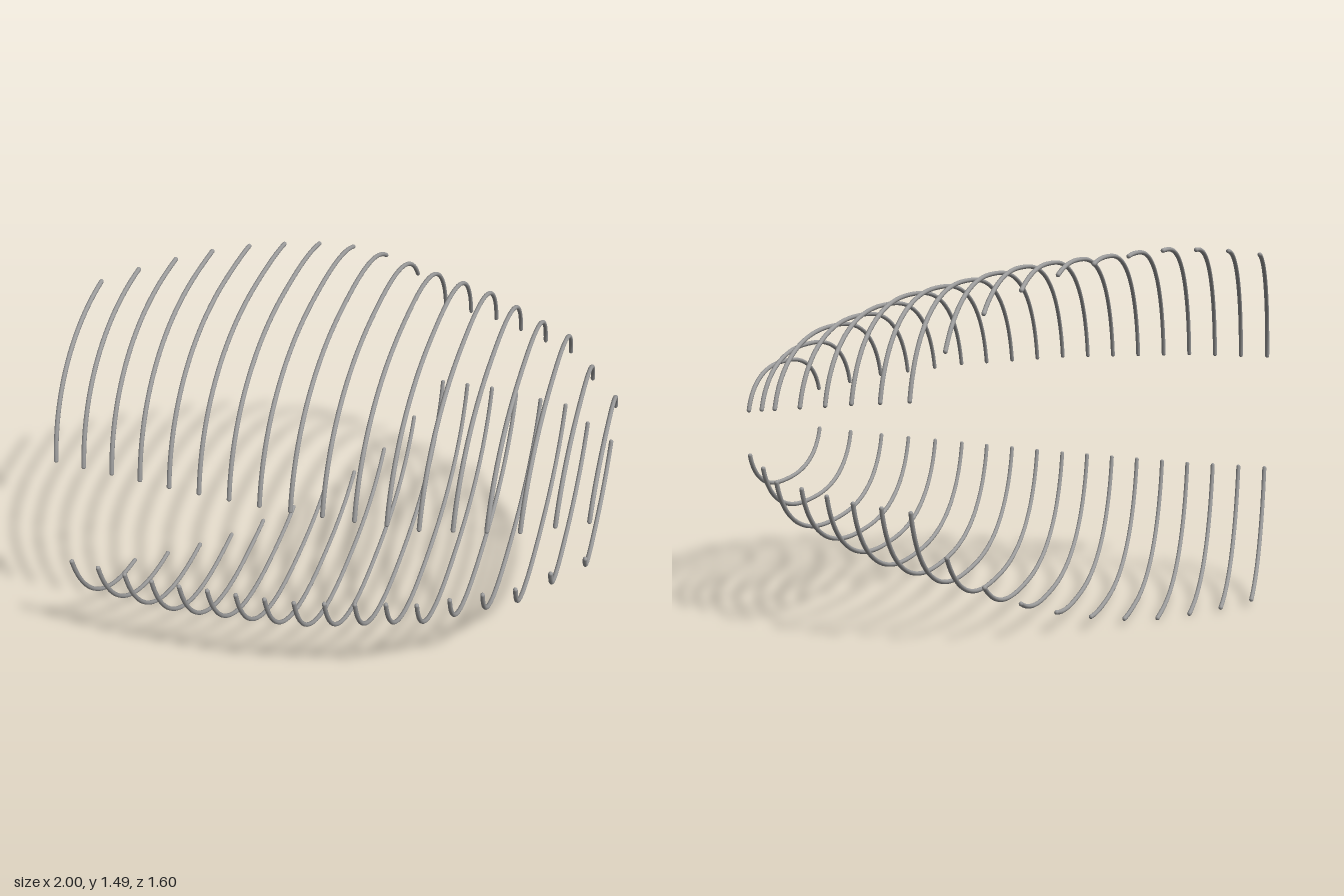
import * as THREE from 'three';

const R = 0.009;      // rod radius
const MID = 0.7475;   // height of the mirror plane
const N = 2.45;       // superellipse exponent of the rib outline

// One row per rib, from -x to +x: top height, open-end height, front z, back z
const RIBS = [
  [1.483, 0.994, 0.765, 0.20], [1.49, 0.994, 0.775, 0.10], [1.495, 0.994, 0.785, 0.00],
  [1.495, 0.994, 0.795, -0.10], [1.482, 0.989, 0.80, -0.21], [1.467, 0.984, 0.80, -0.31],
  [1.453, 0.979, 0.80, -0.415], [1.438, 0.974, 0.80, -0.52], [1.421, 0.969, 0.795, -0.625],
  [1.394, 0.959, 0.78, -0.73], [1.364, 0.949, 0.765, -0.80], [1.336, 0.939, 0.745, -0.79],
  [1.306, 0.929, 0.73, -0.775], [1.261, 0.914, 0.685, -0.74], [1.214, 0.899, 0.64, -0.70],
  [1.169, 0.884, 0.595, -0.665], [1.09, 0.859, 0.50, -0.52], [1.012, 0.834, 0.41, -0.38],
];
// Half depth towards the back for the ribs that stop short
const BACK = [0.92, 0.92, 0.92, 0.92, 0.92, 0.92, 0.90, 0.88, 0.855, 0.837];

const spow = (c, p) => Math.sign(c) * Math.pow(Math.abs(c), p);

// Centre line of an upper (side 1) or lower (side -1) rib
function ribCurve(i, side) {
  const [top, end, front, back] = RIBS[i];
  const x = -0.991 + (1.982 * i) / (RIBS.length - 1);
  const h = top - R - MID;
  const t0 = Math.asin(Math.pow((end + R * 0.7 - MID) / h, N / 2));
  const reach = Math.pow(Math.cos(t0), 2 / N);
  const depthFront = (front - R * 0.7) / reach;
  const depthBack = BACK[i] ?? (-back - R * 0.7) / reach;
  const zEnd = back + R * (i < BACK.length ? 0.3 : 0.7);
  const t1 = Math.acos(spow(zEnd / (zEnd > 0 ? depthFront : depthBack), N / 2));
  const points = [];
  for (let k = 0; k <= 28; k++) {
    const c = Math.cos(t0 + ((t1 - t0) * k) / 28);
    const s = Math.sqrt(1 - c * c);
    const z = spow(c, 2 / N) * (c > 0 ? depthFront : depthBack);
    points.push(new THREE.Vector3(x, MID + side * h * Math.pow(s, 2 / N), z));
  }
  return new THREE.CatmullRomCurve3(points);
}

export function createModel() {
  const model = new THREE.Group();
  model.name = 'ribbedShell';
  const steel = new THREE.MeshStandardMaterial({ color: 0x9c9c9c });
  steel.name = 'grey steel';
  const tip = new THREE.SphereGeometry(R, 10, 8);

  for (const [side, name] of [[1, 'upper'], [-1, 'lower']]) {
    const shell = new THREE.Group();
    shell.name = name + 'Shell';
    RIBS.forEach((_, i) => {
      const curve = ribCurve(i, side);
      const rib = new THREE.Mesh(new THREE.TubeGeometry(curve, 64, R, 10), steel);
      rib.name = `${name}Rib${i + 1}`;
      // Rounded ends close the rod
      for (const t of [0, 1]) {
        const cap = new THREE.Mesh(tip, steel);
        cap.name = 'ribTip';
        cap.position.copy(curve.getPoint(t));
        rib.add(cap);
      }
      shell.add(rib);
    });
    model.add(shell);
  }
  return model;
}
